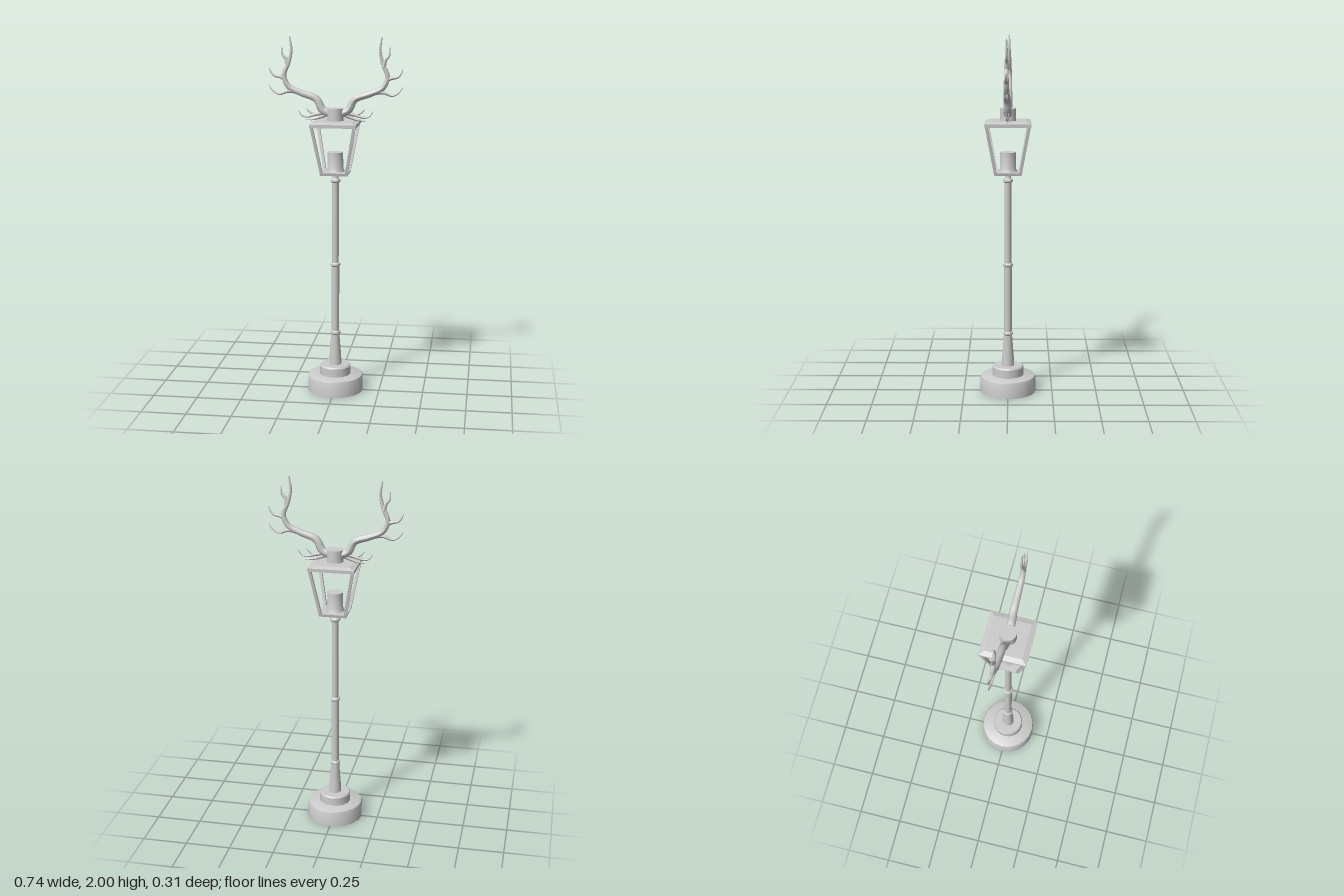
import * as THREE from 'three';
import { toCreasedNormals } from 'three/addons/utils/BufferGeometryUtils.js';

const smooth = new THREE.MeshStandardMaterial({ color: 0xcccccc });
const flat = new THREE.MeshStandardMaterial({ color: 0xcccccc, flatShading: true });

function add(parent, name, geometry, material = smooth) {
  const mesh = new THREE.Mesh(geometry, material);
  mesh.name = name;
  parent.add(mesh);
  return mesh;
}

// Turned part from [radius, height] pairs, bottom to top
function turned(profile, sides = 20) {
  const points = profile.map(([r, y]) => new THREE.Vector2(r, y));
  return toCreasedNormals(new THREE.LatheGeometry(points, sides), 0.6);
}

// Square block that may taper: half widths at bottom and top
function block(bottom, top, y0, y1) {
  const s = Math.SQRT2;
  return new THREE.CylinderGeometry(top * s, bottom * s, y1 - y0, 4)
    .rotateY(Math.PI / 4).translate(0, (y0 + y1) / 2, 0);
}

// Shaft with shallow vertical flutes
function fluted(r, y0, y1, flutes = 10) {
  const geo = new THREE.CylinderGeometry(r, r, y1 - y0, flutes * 4);
  const p = geo.attributes.position;
  for (let i = 0; i < p.count; i++) {
    const a = Math.atan2(p.getX(i), p.getZ(i));
    const k = 0.93 + 0.07 * Math.cos(a * flutes);
    p.setX(i, p.getX(i) * k);
    p.setZ(i, p.getZ(i) * k);
  }
  return geo.translate(0, (y0 + y1) / 2, 0);
}

// Curved horn that thins from r0 to r1 along [x, y] points
function horn(points, r0, r1, power = 1) {
  const curve = new THREE.CatmullRomCurve3(points.map(([x, y]) => new THREE.Vector3(x, y, 0.025 * x)));
  const steps = points.length * 5, sides = 10;
  const geo = new THREE.TubeGeometry(curve, steps, 1, sides);
  const p = geo.attributes.position, v = new THREE.Vector3();
  for (let i = 0; i < p.count; i++) {
    const t = Math.floor(i / (sides + 1)) / steps;
    const c = curve.getPointAt(t);
    v.fromBufferAttribute(p, i).sub(c).multiplyScalar(r1 + (r0 - r1) * Math.pow(1 - t, power)).add(c);
    p.setXYZ(i, v.x, v.y, v.z);
  }
  geo.computeVertexNormals();
  return geo;
}

function makeAntler() {
  const antler = new THREE.Group();
  add(antler, 'antlerBeam', horn([[0.02, 1.58], [0.07, 1.6], [0.105, 1.66], [0.19, 1.692], [0.258, 1.725],
    [0.284, 1.785], [0.257, 1.857], [0.243, 1.925], [0.252, 1.998]], 0.024, 0.003, 0.75));
  const tines = [
    [[0.2, 1.695], [0.26, 1.7], [0.31, 1.684], [0.345, 1.7], [0.367, 1.73]],
    [[0.275, 1.765], [0.305, 1.778], [0.335, 1.783], [0.355, 1.8], [0.366, 1.827]],
    [[0.262, 1.84], [0.272, 1.875], [0.292, 1.9], [0.295, 1.942]],
    [[0.05, 1.59], [0.11, 1.575], [0.16, 1.562], [0.19, 1.572], [0.207, 1.598]],
    [[0.04, 1.58], [0.08, 1.563], [0.12, 1.549], [0.165, 1.545]],
    [[0.06, 1.595], [0.1, 1.578], [0.13, 1.582], [0.163, 1.607]],
  ];
  tines.forEach(t => add(antler, 'antlerTine', horn(t, 0.013, 0.002)));
  return antler;
}

export function createModel() {
  const model = new THREE.Group();

  // Stepped round foot
  add(model, 'base', turned([[0, 0], [0.157, 0], [0.157, 0.083], [0.153, 0.092], [0.145, 0.096], [0, 0.096]]));
  add(model, 'plinth', turned([[0, 0.096], [0.088, 0.096], [0.088, 0.143], [0.082, 0.151], [0, 0.151]]));

  // Post in three sections with collars
  add(model, 'postFoot', turned([[0.035, 0.15], [0.033, 0.2], [0.023, 0.33], [0.023, 0.345]]));
  add(model, 'lowerShaft', fluted(0.022, 0.34, 0.735));
  add(model, 'upperShaft', fluted(0.019, 0.735, 1.21));
  for (const y of [0.338, 0.735, 1.212])
    add(model, 'collar', turned([[0, y - 0.011], [0.022, y - 0.011], [0.028, y - 0.005],
      [0.028, y + 0.005], [0.022, y + 0.011], [0, y + 0.011]]));
  add(model, 'neck', turned([[0.02, 1.22], [0.016, 1.23], [0.016, 1.24], [0.023, 1.251]]));

  // Lantern
  const lantern = new THREE.Group();
  lantern.name = 'lantern';
  model.add(lantern);
  add(lantern, 'lanternFloor', block(0.074, 0.078, 1.248, 1.263), flat);
  add(lantern, 'lamp', turned([[0, 1.262], [0.052, 1.262], [0.044, 1.28], [0.043, 1.37], [0, 1.37]]));
  for (const sx of [-1, 1]) for (const sz of [-1, 1]) {
    const post = new THREE.BoxGeometry(0.016, 0.27, 0.016);
    const p = post.attributes.position;
    for (let i = 0; i < p.count; i++) {
      const out = p.getY(i) > 0 ? 0.117 : 0.068;
      p.setX(i, p.getX(i) + sx * out);
      p.setZ(i, p.getZ(i) + sz * out);
    }
    post.translate(0, 1.39, 0);
    add(lantern, 'cornerPost', post, flat);
  }
  add(lantern, 'roofEdge', block(0.126, 0.127, 1.517, 1.535), flat);
  add(lantern, 'roofTop', block(0.127, 0.1, 1.535, 1.544), flat);
  add(lantern, 'roofCap', turned([[0, 1.54], [0.045, 1.54], [0.045, 1.611], [0, 1.611]], 24));

  // Antlers, one on each side
  const left = makeAntler();
  left.name = 'leftAntler';
  const right = makeAntler();
  right.name = 'rightAntler';
  right.rotation.y = Math.PI;
  model.add(left, right);

  return model;
}
